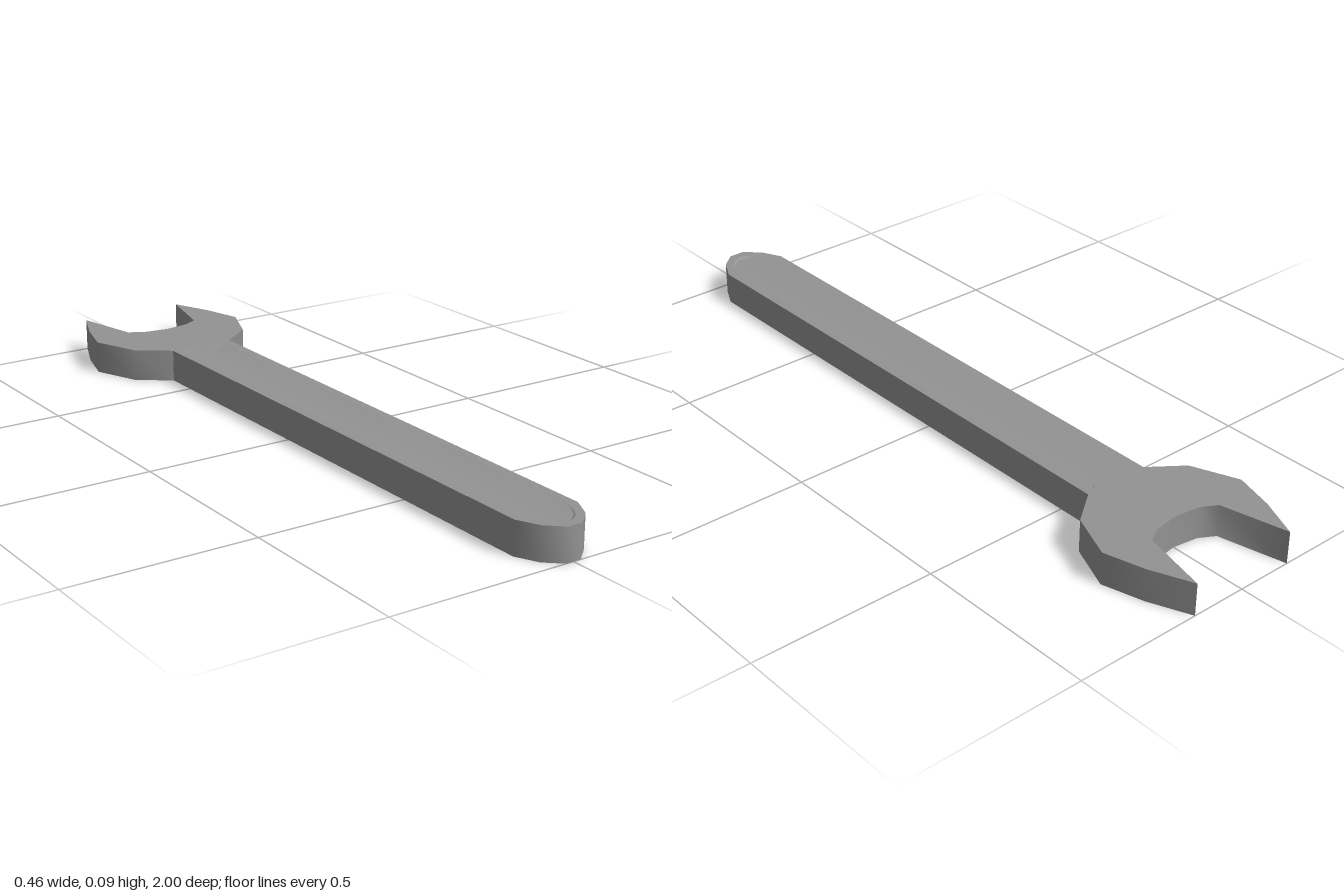
import * as THREE from 'three';
import { toCreasedNormals } from 'three/addons/utils/BufferGeometryUtils.js';

const H = 0.088;          // thickness
const DEPTH = 0.005;      // depth of the shallow hollow in the handle
const W = 0.07;           // half-width of the hollow
const SLOPE = 0.008;      // run of the sloped steps at the ends of the hollow
const N = 12;             // columns across the hollow
const CREASE = THREE.MathUtils.degToRad(50);

// Right half of the outline as [x, z], from the throat round to the handle tip
const half = [
  [0, -0.786], [0.069, -0.796], [0.111, -0.82], [0.153, -1],
  [0.2, -0.89], [0.231, -0.78], [0.18, -0.655], [0.092, -0.59],
  [0.092, 0.905], [0.063, 0.963], [0.021, 1],
];
const outline = [...half, ...half.slice(1).reverse().map(([x, z]) => [-x, z])];

// Columns of the hollow: x, curved ends in z, and depth fading to the sides
const columns = Array.from({ length: N + 1 }, (_, i) => {
  const u = -Math.cos((Math.PI * i) / N);
  const r = Math.sqrt(Math.max(0, 1 - u * u));
  return { x: u * W, head: -0.59 + 0.03 * r, tip: 0.861 + 0.116 * r, y: -DEPTH * r * r };
});

function fromQuads(quads) {
  const pos = [];
  for (const [a, b, c, d] of quads) pos.push(...a, ...b, ...c, ...a, ...c, ...d);
  const g = new THREE.BufferGeometry();
  g.setAttribute('position', new THREE.Float32BufferAttribute(pos, 3));
  return toCreasedNormals(g, CREASE);
}

// Upright edge all round the outline
function edgeGeometry() {
  return fromQuads(outline.map(([x, z], i) => {
    const [x2, z2] = outline[(i + 1) % outline.length];
    return [[x, 0, z], [x, H, z], [x2, H, z2], [x2, 0, z2]];
  }));
}

// Flat face with an opening for the hollow
function faceGeometry() {
  const v = (x, z) => new THREE.Vector2(x, -z);
  const shape = new THREE.Shape(outline.map(([x, z]) => v(x, z)));
  const hole = [
    ...columns.map((c) => v(c.x, c.head)),
    ...columns.slice().reverse().map((c) => v(c.x, c.tip)),
  ];
  shape.holes.push(new THREE.Path(hole));
  return new THREE.ShapeGeometry(shape).rotateX(-Math.PI / 2);
}

// Dished floor and the small sloped step at each end, kept apart for crisp edges
function hollowQuads(start, end) {
  const quads = [];
  for (let i = 0; i < N; i++) {
    const [a, b] = [columns[i], columns[i + 1]];
    quads.push([start(a), end(a), end(b), start(b)]);
  }
  return fromQuads(quads);
}
const headTop = (c) => [c.x, 0, c.head];
const headFloor = (c) => [c.x, c.y, c.head + 0.25 * SLOPE];
const tipFloor = (c) => [c.x, c.y, c.tip - SLOPE];
const tipTop = (c) => [c.x, 0, c.tip];

export function createModel() {
  const material = new THREE.MeshStandardMaterial({ color: 0x939393 });
  const model = new THREE.Group();
  model.name = 'wrench';

  const add = (parent, geometry, name) => {
    const mesh = new THREE.Mesh(geometry, material);
    mesh.name = name;
    parent.add(mesh);
  };

  add(model, edgeGeometry(), 'outerEdge');

  // Same face on top and, turned over, underneath
  const parts = {
    flatFace: faceGeometry(),
    hollowHeadStep: hollowQuads(headTop, headFloor),
    hollowFloor: hollowQuads(headFloor, tipFloor),
    hollowTipStep: hollowQuads(tipFloor, tipTop),
  };
  for (const [name, y, turn] of [['topSide', H, 0], ['bottomSide', 0, Math.PI]]) {
    const side = new THREE.Group();
    side.name = name;
    side.position.y = y;
    side.rotation.z = turn;
    for (const [part, geometry] of Object.entries(parts)) add(side, geometry, part);
    model.add(side);
  }
  return model;
}
